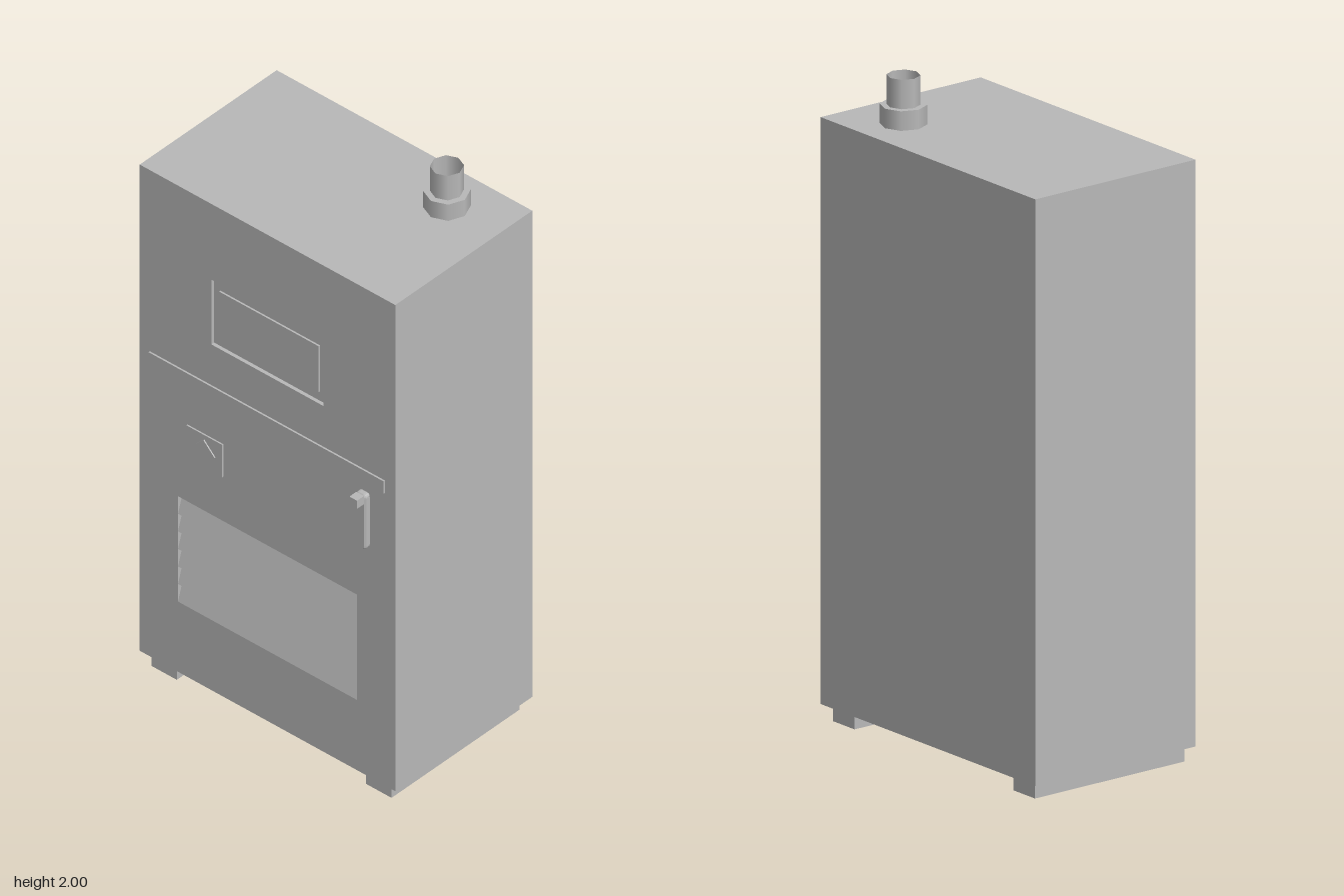
import * as THREE from 'three';

const FRONT = 0.275, BACK = -0.325;

// Box without the listed faces (0 +x, 1 -x, 2 +y, 3 -y, 4 +z, 5 -z)
function openBox(w, h, d, omitted) {
  const g = new THREE.BoxGeometry(w, h, d);
  const all = Array.from(g.index.array);
  g.setIndex(all.filter((_, i) => !omitted.includes(Math.floor(i / 6))));
  g.clearGroups();
  return g;
}

function rectPath(PathType, x0, y0, x1, y1) {
  return new PathType([[x0, y0], [x1, y0], [x1, y1], [x0, y1]].map(p => new THREE.Vector2(...p)));
}

export function createModel() {
  const model = new THREE.Group();
  model.name = 'equipmentCabinet';
  const grey = new THREE.MeshStandardMaterial({ color: 0xb8b8b8, side: THREE.DoubleSide });
  grey.name = 'greyMetal';

  const add = (name, geometry, x = 0, y = 0, z = 0, parent = model) => {
    const mesh = new THREE.Mesh(geometry, grey);
    mesh.name = name;
    mesh.position.set(x, y, z);
    parent.add(mesh);
    return mesh;
  };

  // Sheet-metal shell, open underneath
  add('cabinetShell', openBox(1, 1.8, 0.6, [3, 4]), 0, 0.95, (FRONT + BACK) / 2);

  // Front sheet with openings for the display and the vent
  const sheet = rectPath(THREE.Shape, -0.5, 0.05, 0.5, 1.85);
  sheet.holes.push(
    rectPath(THREE.Path, -0.22, 1.33, 0.22, 1.57),
    rectPath(THREE.Path, -0.35, 0.31, 0.35, 0.70)
  );
  add('frontSheet', new THREE.ShapeGeometry(sheet), 0, 0, FRONT);

  // Shallow display recess with its screen
  add('displayRecess', openBox(0.44, 0.24, 0.012, [4]), 0, 1.45, FRONT - 0.006);
  add('displayScreen', new THREE.BoxGeometry(0.39, 0.17, 0.006), 0, 1.45, FRONT - 0.009);

  // Thin trim strip and hazard sign
  add('trimStrip', new THREE.BoxGeometry(0.92, 0.045, 0.006), 0, 1.157, FRONT + 0.003);
  add('signPlate', new THREE.BoxGeometry(0.14, 0.12, 0.005), -0.243, 0.925, FRONT + 0.0025);
  const diamond = add('signDiamond', new THREE.BoxGeometry(0.062, 0.062, 0.004), -0.243, 0.925, FRONT + 0.007);
  diamond.rotation.z = Math.PI / 4;

  // Louvred vent: each slat slopes out from the recess to the sheet
  const vent = new THREE.Group();
  vent.name = 'vent';
  model.add(vent);
  add('ventSurround', openBox(0.7, 0.39, 0.022, [4, 5]), 0, 0.505, FRONT - 0.011, vent);
  const slats = 6, pitch = 0.39 / slats, depth = 0.02;
  for (let i = 0; i < slats; i++) {
    const slope = new THREE.PlaneGeometry(0.7, Math.hypot(pitch, depth));
    slope.rotateX(-Math.atan2(depth, pitch));
    const y = 0.31 + pitch * (i + 0.5);
    add('ventSlat', slope, 0, y, FRONT - depth / 2, vent);
    const lip = new THREE.PlaneGeometry(0.7, depth);
    lip.rotateX(Math.PI / 2);
    add('ventLip', lip, 0, y - pitch / 2, FRONT - depth / 2, vent);
  }

  // Door handle with rounded ends and a lock knob
  const w = 0.02, r = 0.012, h = 0.1;
  const outline = new THREE.Shape();
  outline.moveTo(-w + r, -h);
  outline.lineTo(w - r, -h);
  outline.quadraticCurveTo(w, -h, w, -h + r);
  outline.lineTo(w, h - r);
  outline.quadraticCurveTo(w, h, w - r, h);
  outline.lineTo(-w + r, h);
  outline.quadraticCurveTo(-w, h, -w, h - r);
  outline.lineTo(-w, -h + r);
  outline.quadraticCurveTo(-w, -h, -w + r, -h);
  const plate = new THREE.ExtrudeGeometry(outline, {
    depth: 0.015, curveSegments: 4, bevelSize: 0.005, bevelOffset: -0.005, bevelThickness: 0.005, bevelSegments: 1
  });
  add('doorHandle', plate, 0.38, 1.0, FRONT);
  add('handleKnob', new THREE.BoxGeometry(0.03, 0.03, 0.03), 0.38, 1.085, 0.31);

  // Roof stack: collar and open pipe
  add('stackCollar', new THREE.CylinderGeometry(0.07, 0.07, 0.06, 8), 0.3, 1.88, -0.175);
  add('stackPipe', new THREE.CylinderGeometry(0.05, 0.05, 0.09, 8, 1, true), 0.3, 1.955, -0.175);

  // Channel-shaped base rails, open underneath
  for (const s of [-1, 1]) {
    add(s > 0 ? 'leftRail' : 'rightRail', openBox(0.1, 0.05, 0.56, [3]), s * 0.42, 0.025, -0.022);
  }
  return model;
}
